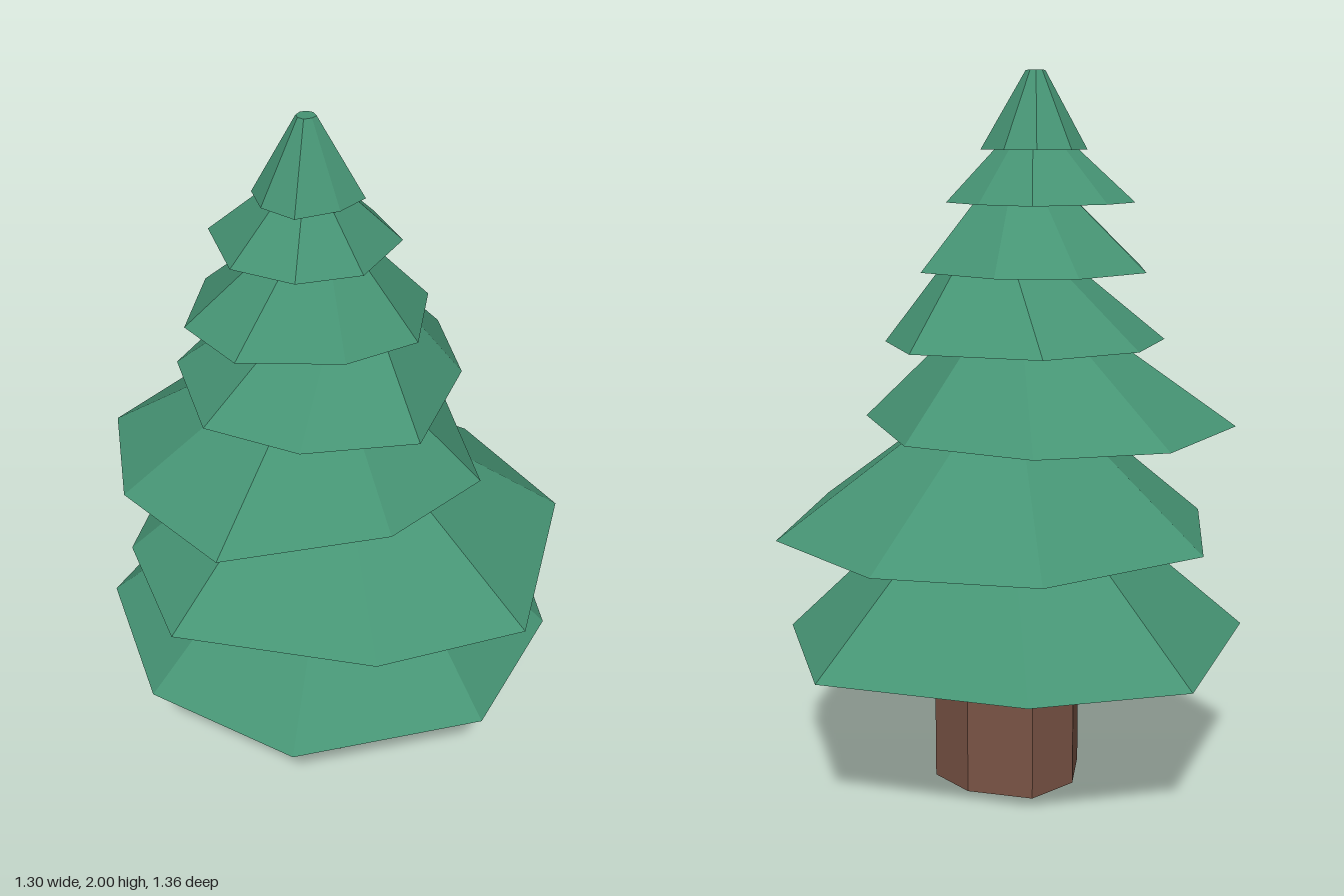
import * as THREE from 'three';

// Hand-cut eight-sided tiers from bottom to top.
// rim: x, z corners at the base; neck: x, z centre and scale of the upper ring
const TIERS = [
  { y: 0.43, neck: [0.01, -0.015, 0.49],
    rim: [0.65, 0.18, 0.31, 0.54, -0.14, 0.625, -0.57, 0.3, -0.64, -0.16, -0.39, -0.565, 0.19, -0.68, 0.5, -0.375] },
  { y: 0.735, neck: [-0.01, 0, 0.39],
    rim: [0.62, 0.02, 0.475, 0.45, -0.045, 0.68, -0.4, 0.45, -0.655, -0.045, -0.46, -0.39, 0, -0.615, 0.465, -0.395] },
  { y: 1.03, neck: [-0.085, -0.035, 0.44],
    rim: [0.4, 0.065, 0.1, 0.415, -0.24, 0.37, -0.6, 0.085, -0.55, -0.295, -0.31, -0.565, 0.11, -0.565, 0.37, -0.31] },
  { y: 1.27, neck: [-0.016, 0, 0.5],
    rim: [0.38, 0.06, 0.205, 0.265, -0.135, 0.375, -0.36, 0.165, -0.43, -0.1, -0.245, -0.37, 0.03, -0.43, 0.29, -0.29] },
  { y: 1.465, neck: [-0.06, -0.03, 0.46],
    rim: [0.21, 0.14, -0.005, 0.265, -0.2, 0.185, -0.37, -0.035, -0.325, -0.25, -0.105, -0.38, 0.15, -0.315, 0.26, -0.125] },
  { y: 1.65, neck: [-0.04, -0.07, 0.45],
    rim: [0.21, -0.045, 0.13, 0.11, -0.08, 0.145, -0.22, 0.04, -0.265, -0.135, -0.14, -0.325, 0.02, -0.325, 0.22, -0.215] },
  { y: 1.79, neck: [-0.037, -0.072, 0.18],
    rim: [0.1, -0.055, 0.035, 0.06, -0.06, 0.055, -0.165, -0.005, -0.17, -0.11, -0.115, -0.19, 0, -0.205, 0.08, -0.145] },
];
const TOP = 2;
const TRUNK = [0.205, 0, 0.16, 0.14, 0, 0.21, -0.165, 0.14, -0.215, 0, -0.155, -0.155, 0, -0.225, 0.15, -0.18];

// Closed, tapered solid between a base outline and its scaled, shifted copy
function taperedSolid(rim, y0, y1, neck) {
  const n = rim.length / 2;
  let cx = 0, cz = 0;
  for (let i = 0; i < n; i++) {
    cx += rim[2 * i] / n;
    cz += rim[2 * i + 1] / n;
  }
  const [nx, nz, s] = neck ?? [cx, cz, 1];
  const low = (i) => [rim[2 * (i % n)], y0, rim[2 * (i % n) + 1]];
  const high = (i) => {
    const [x, , z] = low(i);
    return [nx + (x - cx) * s, y1, nz + (z - cz) * s];
  };
  const pos = [];
  for (let i = 0; i < n; i++) {
    const a = low(i), b = low(i + 1), c = high(i), d = high(i + 1);
    pos.push(...b, ...a, ...c, ...b, ...c, ...d); // side
    pos.push(cx, y0, cz, ...a, ...b); // underside
    pos.push(nx, y1, nz, ...d, ...c); // cap
  }
  const geometry = new THREE.BufferGeometry();
  geometry.setAttribute('position', new THREE.Float32BufferAttribute(pos, 3));
  geometry.computeVertexNormals();
  return geometry;
}

export function createModel() {
  const tree = new THREE.Group();
  tree.name = 'pineTree';
  const bark = new THREE.MeshStandardMaterial({ color: 0x7a5445, flatShading: true });
  const needles = new THREE.MeshStandardMaterial({ color: 0x469474, flatShading: true });

  // Trunk
  const trunk = new THREE.Mesh(taperedSolid(TRUNK, 0, 0.43), bark);
  trunk.name = 'trunk';
  tree.add(trunk);

  // Foliage, each tier reaching up to the underside of the next
  const foliage = new THREE.Group();
  foliage.name = 'foliage';
  TIERS.forEach(({ y, rim, neck }, i) => {
    const top = TIERS[i + 1]?.y ?? TOP;
    const tier = new THREE.Mesh(taperedSolid(rim, y, top, neck), needles);
    tier.name = `foliageTier${i + 1}`;
    foliage.add(tier);
  });
  tree.add(foliage);
  return tree;
}
